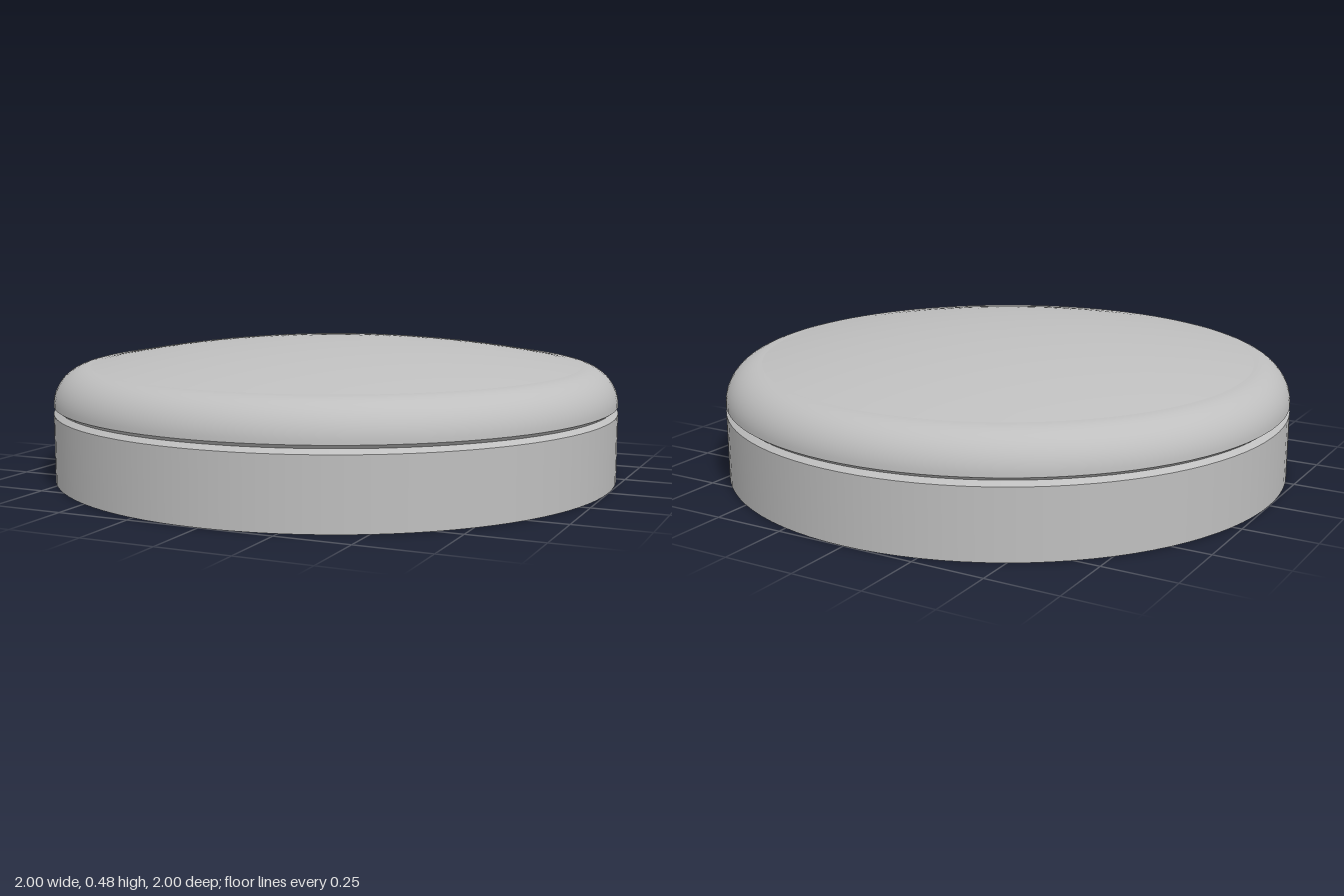
import * as THREE from 'three';

export function createModel() {
  const group = new THREE.Group();
  const grey = new THREE.MeshStandardMaterial({ color: 0xbfbfbf });
  grey.name = 'light grey';

  // Revolves one smooth stretch of the profile; separate stretches keep sharp edges.
  const addRing = (name, points) => {
    const geometry = new THREE.LatheGeometry(points.map(([r, y]) => new THREE.Vector2(r, y)), 96);
    const mesh = new THREE.Mesh(geometry, grey);
    mesh.name = name;
    group.add(mesh);
  };

  // Points of an arc from angle a to b about (cx, cy).
  const arc = (cx, cy, radius, a, b, steps) =>
    Array.from({ length: steps + 1 }, (_, i) => {
      const t = a + ((b - a) * i) / steps;
      return [Math.max(0, cx + radius * Math.cos(t)), cy + radius * Math.sin(t)];
    });

  // Base
  addRing('baseBottom', [[0, 0], [1, 0]]);
  addRing('baseWall', [[1, 0], [1, 0.237]]);

  // Narrow groove between base and lid
  addRing('grooveLower', [[1, 0.237], [0.982, 0.252]]);
  addRing('grooveUpper', [[0.982, 0.252], [1, 0.265]]);

  // Rounded lid shoulder
  const round = 0.13, rim = 1 - round, rimY = 0.265 + round;
  addRing('lidShoulder', arc(rim, 0.265, round, 0, Math.PI / 2, 14));

  // Shallow domed top
  const rise = 0.48 - rimY;
  const radius = (rim * rim + rise * rise) / (2 * rise);
  addRing('lidDome', arc(0, 0.48 - radius, radius, Math.acos(rim / radius), Math.PI / 2, 14));

  return group;
}
